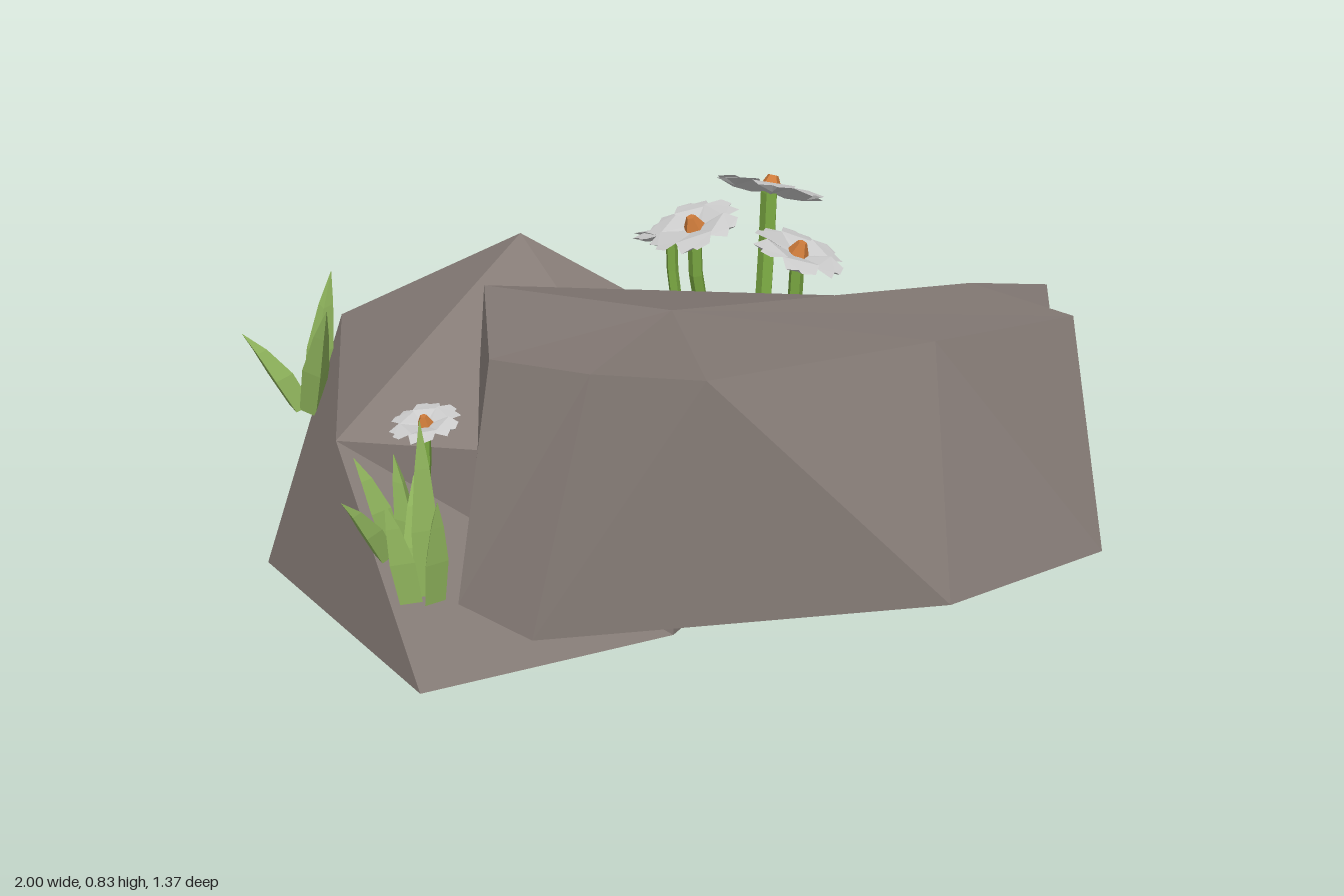
import * as THREE from 'three';

const mat = (color) => new THREE.MeshStandardMaterial({ color, flatShading: true, side: THREE.DoubleSide, roughness: 0.9 });
const V = (p) => new THREE.Vector3(...p);

function addMesh(parent, name, geometry, material) {
  const m = new THREE.Mesh(geometry, material);
  m.name = name;
  parent.add(m);
  return m;
}

// Flat-shaded geometry from a list of triangles, each of three points
function facets(tris) {
  const g = new THREE.BufferGeometry();
  const solid = tris.filter(([a, b, c]) => a !== b && b !== c && a !== c);
  g.setAttribute('position', new THREE.Float32BufferAttribute(solid.flat(2), 3));
  g.computeVertexNormals();
  return g;
}

// Side walls between two matching rings (counter-clockwise from above) plus a bottom fan
function walls(low, high) {
  const n = low.length, tris = [];
  const mid = [0, 1, 2].map((k) => low.reduce((s, p) => s + p[k], 0) / n);
  for (let i = 0; i < n; i++) {
    const j = (i + 1) % n;
    tris.push([low[i], low[j], high[i]], [low[j], high[j], high[i]], [low[j], low[i], mid]);
  }
  return tris;
}

// Low rock: seven-sided foot, five shoulder corners and a peak
function lowRock() {
  const low = [[-1, 0.02, 0.07], [-0.63, 0.015, 0.48], [0, 0, 0.57], [0.23, 0.015, 0.07],
    [0.13, 0.015, -0.45], [-0.39, 0.015, -0.69], [-0.88, 0.02, -0.46]];
  const u = [[-0.87, 0.42, 0.05], [-0.29, 0.45, 0.52], [0.23, 0.42, 0.07], [0.08, 0.46, -0.36], [-0.65, 0.445, -0.44]];
  const peak = [-0.41, 0.7, -0.11];
  const high = [u[0], u[1], u[1], u[2], u[3], u[4], u[4]];
  const top = u.map((p, i) => [p, u[(i + 1) % 5], peak]);
  return facets([...walls(low, high), ...top]);
}

// Leaning rock: tilted slab with a notch at its back corner and a raised crown point
function leaningRock() {
  const low = [[-0.12, 0.2, 0], [0, 0.228, 0.43], [0.13, 0.265, 0.57], [0.39, 0.32, 0.62], [0.91, 0.38, 0.08],
    [1, 0.38, -0.28], [0.8, 0.335, -0.39], [0.82, 0.335, -0.48], [0.22, 0.175, -0.48]];
  const high = [[-0.31, 0.66, 0.09], [-0.03, 0.65, 0.33], [0.28, 0.725, 0.36], [0.59, 0.82, 0.39], [0.78, 0.83, 0],
    [0.89, 0.83, -0.27], [0.62, 0.8, -0.34], [0.71, 0.785, -0.47], [0.25, 0.63, -0.475]];
  const crown = [0.26, 0.775, 0.12];
  const rim = [0, 1, 2, 3, 4, 5, 6, 8];
  const top = rim.map((k, i) => [high[k], high[rim[(i + 1) % 8]], crown]);
  top.push([high[6], high[7], high[8]]);
  return facets([...walls(low, high), ...top]);
}

// Grass blade: three-sided section swept along a curve to a point
function blade(base, tip, width) {
  const a = V(base), b = V(tip);
  const mid = a.clone().lerp(b, 0.5);
  mid.y += 0.03;
  const curve = new THREE.QuadraticBezierCurve3(a, mid, b);
  const rings = [[0, 0.9], [0.35, 1], [0.7, 0.55], [1, 0.02]].map(([t, w]) => {
    const c = curve.getPoint(t);
    return [0, 1, 2].map((k) => {
      const ang = (k * Math.PI * 2) / 3 + base[0] * 9;
      return [c.x + Math.cos(ang) * w * width, c.y, c.z - Math.sin(ang) * w * width];
    });
  });
  const tris = [];
  for (let r = 0; r < 3; r++) for (let k = 0; k < 3; k++) {
    const n = (k + 1) % 3, p = rings[r], q = rings[r + 1];
    tris.push([p[k], p[n], q[k]], [p[n], q[n], q[k]]);
  }
  return facets(tris);
}

// Petal: broad angular plate, rising from the centre and drooping beyond a cross fold
function petalGeometry(r) {
  const top = [[0.08, 0, -0.1], [0.08, 0, 0.1], [0.55, 0.16, -0.4], [0.6, 0.12, 0.38], [0.92, 0.1, -0.34],
    [1, 0.06, -0.06], [0.9, 0.08, 0.02], [0.98, 0.04, 0.28]].map((p) => p.map((c) => c * r));
  const [a, b, c, d, e, f, g, h] = top;
  const under = [0.35 * r, -0.06 * r, 0], tip = [0.75 * r, -0.03 * r, 0];
  const rim = [a, b, d, h, g, f, e, c];
  const bottom = rim.map((p, i) => [rim[(i + 1) % 8], p, i === 7 || i < 2 ? under : tip]);
  const joins = [[c, tip, under], [d, under, tip]];
  return facets([[a, b, c], [b, d, c], [c, d, g], [d, h, g], [c, g, e], [g, f, e], ...bottom, ...joins]);
}

export function createModel() {
  const root = new THREE.Group();
  const rock = mat(0x857b76), grass = mat(0x93b95f), stemMat = mat(0x7aa842), white = mat(0xd6d6d6), orange = mat(0xcc7a3a);

  addMesh(root, 'lowRock', lowRock(), rock);
  addMesh(root, 'leaningRock', leaningRock(), rock);

  // Flowers: stem foot, head centre, radius, facing direction
  const flowers = [
    [[-0.03, 0.3, -0.485], [-0.075, 0.765, -0.565], 0.125, [-0.1, 1, -0.42]],
    [[-0.25, 0.3, -0.51], [-0.3, 0.62, -0.485], 0.09, [-0.15, 1, -0.1]],
    [[-0.13, 0.3, -0.5], [-0.125, 0.715, -0.37], 0.105, [-0.1, 1, 0.35]],
    [[0.03, 0.3, -0.5], [0.1, 0.69, -0.455], 0.105, [0.3, 1, -0.15]],
    [[-0.05, 0.26, 0.52], [-0.04, 0.56, 0.49], 0.07, [0, 1, 0.2]],
  ];
  for (const [foot, head, r, facing] of flowers) {
    const flower = new THREE.Group();
    flower.name = 'flower';
    root.add(flower);
    const bend = V([head[0], foot[1] + (head[1] - foot[1]) * 0.5, head[2]]);
    const path = new THREE.QuadraticBezierCurve3(V(foot), bend, V(head));
    addMesh(flower, 'stem', new THREE.TubeGeometry(path, 4, r * 0.16, 5), stemMat);

    const bloom = new THREE.Group();
    bloom.name = 'bloom';
    bloom.position.set(...head);
    bloom.quaternion.setFromUnitVectors(new THREE.Vector3(0, 1, 0), V(facing).normalize());
    flower.add(bloom);
    const petal = petalGeometry(r);
    for (let i = 0; i < 6; i++) addMesh(bloom, 'petal', petal, white).rotation.y = (i * Math.PI) / 3 + 0.2;
    const centre = addMesh(bloom, 'flowerCentre', new THREE.CylinderGeometry(r * 0.1, r * 0.25, r * 0.28, 5), orange);
    centre.position.y = r * 0.16;
  }

  // Grass blades: foot, tip, half width
  const blades = [
    [[-0.79, 0.27, 0.21], [-0.86, 0.54, 0.08], 0.036],
    [[-0.75, 0.27, 0.24], [-0.63, 0.56, 0.27], 0.036],
    [[-0.79, 0.27, 0.25], [-0.86, 0.46, 0.34], 0.034],
    [[-0.12, 0.28, 0.53], [-0.155, 0.48, 0.58], 0.028],
    [[-0.09, 0.28, 0.57], [-0.07, 0.45, 0.68], 0.028],
    [[-0.03, 0.28, 0.54], [-0.08, 0.5, 0.54], 0.026],
    [[0.04, 0.27, 0.6], [0.015, 0.5, 0.57], 0.026],
    [[0.06, 0.27, 0.59], [0.065, 0.64, 0.59], 0.03],
    [[0.09, 0.27, 0.6], [0.13, 0.5, 0.61], 0.028],
    [[0.06, 0.27, 0.63], [0.05, 0.49, 0.67], 0.028],
  ];
  for (const b of blades) addMesh(root, 'grassBlade', blade(...b), grass);
  return root;
}
